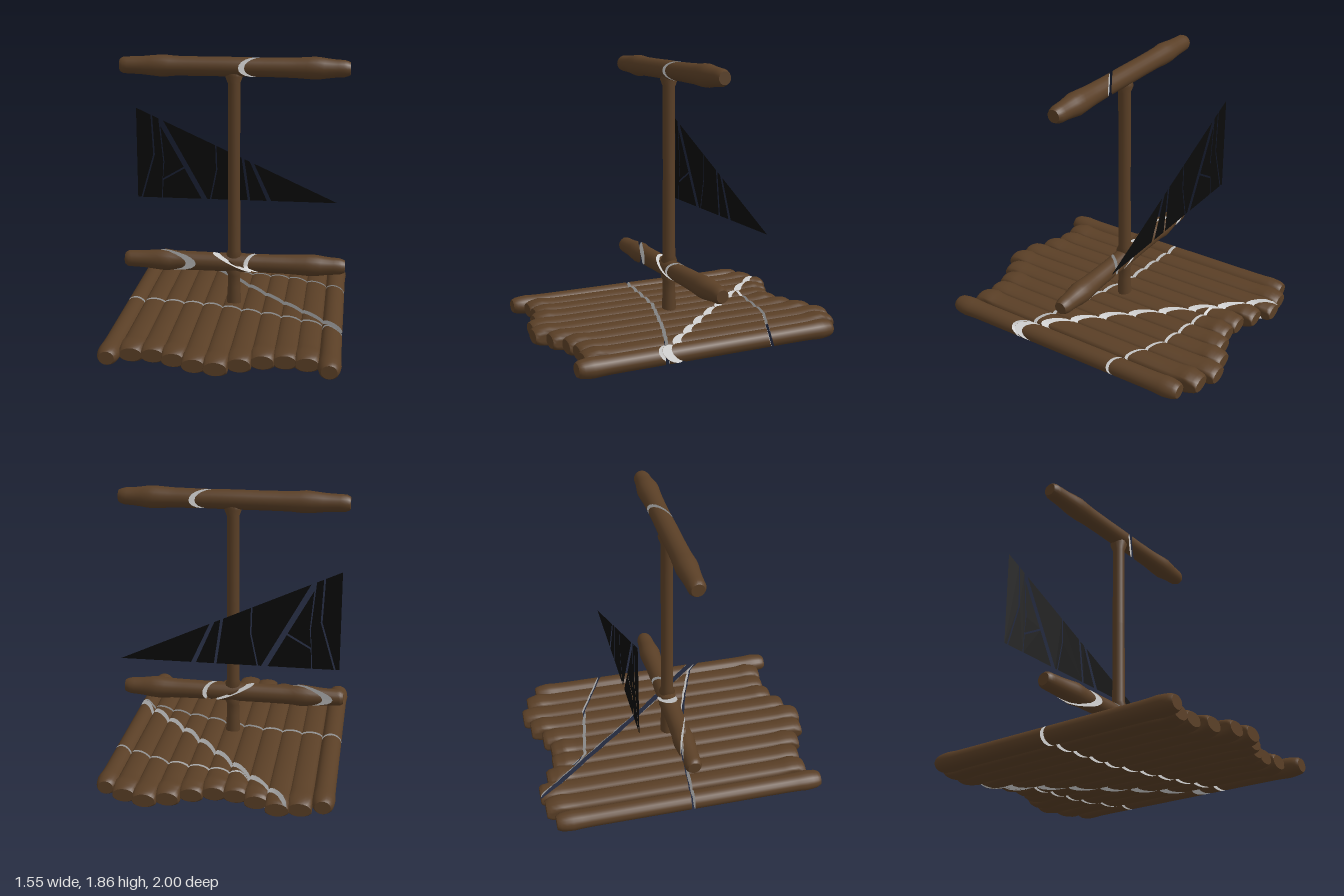
import * as THREE from 'three';

const wood = new THREE.MeshStandardMaterial({ color: 0x5a3f26 });
const cutFace = new THREE.MeshStandardMaterial({ color: 0xcccccc });
const cloth = new THREE.MeshStandardMaterial({ color: 0x0a0a0a, side: THREE.DoubleSide });

function add(parent, name, geometry, material) {
  const mesh = new THREE.Mesh(geometry, material);
  mesh.name = name;
  parent.add(mesh);
}

const clamp = THREE.MathUtils.clamp;

// Value of a polyline [[x, v], ...] at x
function along(points, x) {
  for (let i = 1; i < points.length; i++) {
    const [x0, v0] = points[i - 1], [x1, v1] = points[i];
    if (x <= x1 || i === points.length - 1) return v0 + (v1 - v0) * (x - x0) / (x1 - x0);
  }
}

// Timber along z, split into pieces by slanted cuts.
// radius(z) is the profile; each cut has at(x, y) -> z and a gap width.
function splitTimber(parent, name, { radius, start, end, cuts, wide = 1, limit = 1, place }) {
  for (let k = 0; k <= cuts.length; k++) {
    const before = cuts[k - 1], after = cuts[k];
    const shape = (g) => {
      const p = g.attributes.position;
      for (let i = 0; i < p.count; i++) {
        const u = p.getX(i), v = p.getY(i), t = (1 - Math.cos(Math.PI * (p.getZ(i) + 0.5))) / 2;
        const x = clamp(u * 0.064 * wide, -limit, limit), y = v * 0.064;
        const z0 = before ? clamp(before.at(x, y) + before.gap / 2, start, end) : start;
        const z1 = Math.max(z0, after ? clamp(after.at(x, y) - after.gap / 2, start, end) : end);
        const z = z0 + (z1 - z0) * t, r = radius(z);
        p.setXYZ(i, clamp(u * r * wide, -limit, limit), v * r, z);
      }
      g.computeVertexNormals();
      place(g);
      return g;
    };
    add(parent, name, shape(new THREE.CylinderGeometry(1, 1, 1, 20, 18, true).rotateX(Math.PI / 2)), wood);
    const cap = () => new THREE.CircleGeometry(1, 20);
    add(parent, name + 'BackFace', shape(cap().rotateY(Math.PI).translate(0, 0, -0.5)), before ? cutFace : wood);
    add(parent, name + 'FrontFace', shape(cap().translate(0, 0, 0.5)), after ? cutFace : wood);
  }
}

// Deck logs: end positions at the back and the front, side by side
const BACK = [-0.92, -0.97, -0.99, -0.92, -0.86, -0.85, -0.89, -0.96, -1, -0.95, -0.87];
const FRONT = [0.92, 0.85, 0.85, 0.9, 0.97, 1, 0.93, 0.87, 0.85, 0.87, 0.96];

// Cuts across the deck: a leaning diagonal with a thin cut on either side of it
const DIAGONAL = [[-0.48, -0.98], [-0.4, -0.87], [-0.19, -0.64], [0.28, -0.1], [0.54, 0.17], [0.77, 0.41]];
const BACK_CUT = [[-0.19, -0.64], [0.36, -0.55], [0.77, -0.35]];
const FRONT_CUT = [[-0.77, 0], [-0.15, 0.06], [0.36, 0.22], [0.77, 0.38]];
const diagonal = (x, y) => along(DIAGONAL, x) + y - 0.06;
const backCut = (x, y) => Math.min(along(BACK_CUT, x) + 0.3 * (y - 0.06), diagonal(x, y) - 0.045);
const frontCut = (x, y) => Math.max(along(FRONT_CUT, x), diagonal(x, y) + 0.045);

function makeDeck() {
  const deck = new THREE.Group();
  deck.name = 'deck';
  for (let i = 0; i < 11; i++) {
    const cx = -0.7 + 0.14 * i, start = BACK[i], end = FRONT[i], outer = i === 0 || i === 10;
    const profile = [[0, 0.044], [0.02, 0.056], [0.09, 0.066 + 0.005 * (i % 2)], [0.17, 0.061], [0.25, 0.06], [2, 0.06]];
    const cuts = [{ at: (x, y) => frontCut(x + cx, y), gap: 0.026 }];
    if (i >= 2) cuts.unshift({ at: (x, y) => diagonal(x + cx, y), gap: 0.062 });
    if (i >= 4) cuts.unshift({ at: (x, y) => backCut(x + cx, y), gap: 0.022 });
    // Inner logs are wide and pressed flat against their neighbours
    splitTimber(deck, 'deckLog', {
      radius: (z) => along(profile, Math.min(z - start, end - z)),
      start, end, cuts,
      wide: outer ? 1.15 : 1.65,
      limit: outer ? 0.075 : 0.073,
      place: (g) => g.translate(cx, 0.082, 0),
    });
  }
  return deck;
}

// Crossbar with knobbly ends, laid along x; local x points to the back
const BAR = [[-0.77, 0.042], [-0.75, 0.056], [-0.62, 0.061], [-0.48, 0.076], [-0.41, 0.067], [-0.2, 0.065], [0, 0.066],
  [0.2, 0.064], [0.4, 0.067], [0.55, 0.077], [0.65, 0.062], [0.74, 0.056], [0.77, 0.042]];

function crossbar(parent, name, height, cuts) {
  splitTimber(parent, name, {
    radius: (z) => along(BAR, z),
    start: -0.77, end: 0.77, cuts,
    place: (g) => g.rotateY(Math.PI / 2).translate(0, height, 0),
  });
}

// Triangular sail torn into flat shards
function makeSail() {
  const sail = new THREE.Group();
  sail.name = 'sail';
  const top = (x) => [x, 1.44 - (x + 0.75) * 0.455];
  const shards = [
    [[-0.75, 0.78], [-0.726, 0.78], [-0.632, 1.1], top(-0.646), top(-0.75)],
    [[-0.714, 0.78], [-0.574, 0.78], [-0.559, 1.05], top(-0.59), top(-0.634), [-0.62, 1.1]],
    [[-0.563, 0.925], [-0.41, 1.015], [-0.575, 1.31], [-0.551, 1.05]],
    [[-0.566, 0.78], [-0.281, 0.78], [-0.404, 1.003], [-0.561, 0.912]],
    [[-0.239, 0.78], [-0.22, 0.78], [-0.175, 1], top(-0.18), top(-0.555)],
    [[-0.21, 0.78], [0.056, 0.78], [0.01, 1.094], top(-0.17), [-0.165, 1]],
    [[0.074, 0.78], [0.194, 0.78], top(0.069), top(0.03)],
    [[0.226, 0.78], [0.7, 0.78], top(0.101)],
  ];
  for (const points of shards) {
    const shape = new THREE.Shape(points.map((p) => new THREE.Vector2(...p)));
    add(sail, 'sailShard', new THREE.ShapeGeometry(shape), cloth);
  }
  sail.position.z = -0.36;
  return sail;
}

export function createModel() {
  const raft = new THREE.Group();
  raft.name = 'raft';
  raft.add(makeDeck());

  // Mast, slightly flared where it meets the crossbars
  const mast = [[0.05, 0.08], [0.049, 0.17], [0.044, 0.26], [0.043, 0.34], [0.058, 0.375], [0.04, 0.4], [0.04, 0.46],
    [0.058, 0.485], [0.044, 0.52], [0.042, 1.1], [0.042, 1.69], [0.06, 1.738], [0.045, 1.78]];
  add(raft, 'mast', new THREE.LatheGeometry(mast.map((p) => new THREE.Vector2(...p)), 14), wood);

  const r = 0.066;
  const slant = (x, y) => 0.01 - 0.14 * y / r;
  crossbar(raft, 'lowerCrossbar', 0.43, [
    { at: (x) => -0.48 - 0.19 * x / r, gap: 0.07 },
    { at: slant, gap: 0.05 },
    { at: (x, y) => Math.max(0.14 + 0.055 * x / r, slant(x, y) + 0.04), gap: 0.03 },
  ]);
  crossbar(raft, 'upperCrossbar', 1.8, [{ at: (x) => 0.16 + 0.11 * x / r, gap: 0.04 }]);

  raft.add(makeSail());
  return raft;
}
